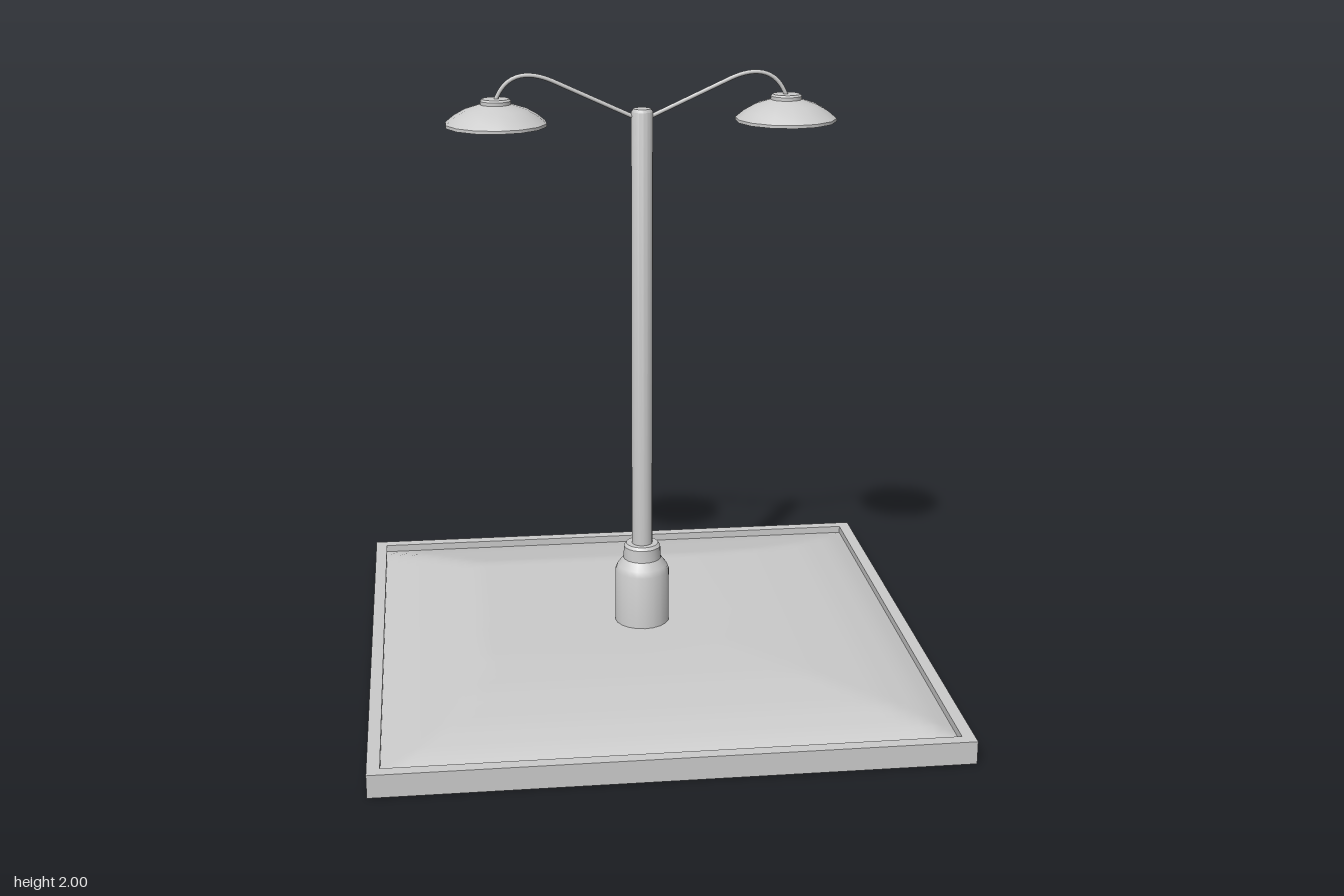
import * as THREE from 'three';
import { toCreasedNormals } from 'three/addons/utils/BufferGeometryUtils.js';

const material = new THREE.MeshStandardMaterial({ color: 0xcccccc });
const doubleSided = new THREE.MeshStandardMaterial({ color: 0xcccccc, side: THREE.DoubleSide });

function add(parent, name, geometry, mat = material) {
  const mesh = new THREE.Mesh(geometry, mat);
  mesh.name = name;
  parent.add(mesh);
  return mesh;
}

// Turned part from [radius, height] pairs, listed bottom to top
function turned(points, sides, crease = 0.6) {
  const profile = points.map(([r, y]) => new THREE.Vector2(r, y));
  return toCreasedNormals(new THREE.LatheGeometry(profile, sides), crease);
}

// Straight-line interpolation through [position, height] pairs
function sample(pairs, t) {
  for (let i = 1; i < pairs.length; i++) {
    const [a, ya] = pairs[i - 1], [b, yb] = pairs[i];
    if (t <= b) return THREE.MathUtils.mapLinear(t, a, b, ya, yb);
  }
  return pairs[pairs.length - 1][1];
}

function squarePath(path, h) {
  path.moveTo(-h, -h);
  path.lineTo(h, -h);
  path.lineTo(h, h);
  path.lineTo(-h, h);
  path.closePath();
  return path;
}

// Gentle mound: the lower of two slopes gives hipped corners
function moundGeometry(half) {
  const steep = [[0, 0.122], [0.55, 0.124], [0.78, 0.076], [half, 0.05]];
  const soft = [[0, 0.122], [0.25, 0.124], [0.5, 0.115], [0.7, 0.096], [0.82, 0.074], [half, 0.05]];
  const height = (v) => sample(v < 0 ? steep : soft, Math.abs(v));
  const geometry = new THREE.PlaneGeometry(half * 2, half * 2, 48, 48).rotateX(-Math.PI / 2);
  const p = geometry.attributes.position;
  for (let i = 0; i < p.count; i++) p.setY(i, Math.min(height(p.getX(i)), height(p.getZ(i))));
  geometry.computeVertexNormals();
  return geometry;
}

function createLamp(side) {
  const lamp = new THREE.Group();
  lamp.name = side > 0 ? 'leftLamp' : 'rightLamp';

  // Bent arm, straight out of the post and hooked over the shade
  const arm = new THREE.CurvePath();
  const v = (x, y) => new THREE.Vector3(x * side, y, 0);
  arm.add(new THREE.LineCurve3(v(0.01, 1.848), v(0.28, 1.972)));
  arm.add(new THREE.CubicBezierCurve3(v(0.28, 1.972), v(0.38, 2.018), v(0.44, 1.985), v(0.465, 1.915)));
  add(lamp, 'arm', new THREE.TubeGeometry(arm, 36, 0.007, 8));

  // Shallow hollow shade with a small cap
  const shade = add(lamp, 'shade', turned([
    [0, 1.894], [0.05, 1.889], [0.1, 1.874], [0.135, 1.857], [0.156, 1.835],
    [0.163, 1.835], [0.163, 1.845], [0.135, 1.868], [0.1, 1.888], [0.05, 1.904],
  ], 14), doubleSided);
  shade.position.x = 0.465 * side;
  const cap = add(lamp, 'shadeCap', turned([
    [0.05, 1.9], [0.05, 1.915], [0.044, 1.921], [0, 1.921],
  ], 14));
  cap.position.x = 0.465 * side;
  return lamp;
}

export function createModel() {
  const model = new THREE.Group();
  model.name = 'streetLamp';

  // Square plinth: raised rim around a solid floor
  const rimShape = squarePath(new THREE.Shape(), 0.925);
  rimShape.holes.push(squarePath(new THREE.Path(), 0.885));
  add(model, 'plinthRim', new THREE.ExtrudeGeometry(rimShape, { depth: 0.075, bevelEnabled: false }).rotateX(-Math.PI / 2));
  add(model, 'plinthFloor', new THREE.BoxGeometry(1.77, 0.045, 1.77).translate(0, 0.0225, 0));
  add(model, 'mound', moundGeometry(0.885));

  // Post and its wide foot
  add(model, 'postFoot', turned([
    [0.092, 0.05], [0.092, 0.305], [0.084, 0.325], [0.064, 0.35],
    [0.062, 0.392], [0.054, 0.402], [0, 0.402],
  ], 20));
  add(model, 'post', turned([
    [0.035, 0.39], [0.035, 1.872], [0.029, 1.882], [0, 1.882],
  ], 16));

  for (const side of [1, -1]) model.add(createLamp(side));
  return model;
}
